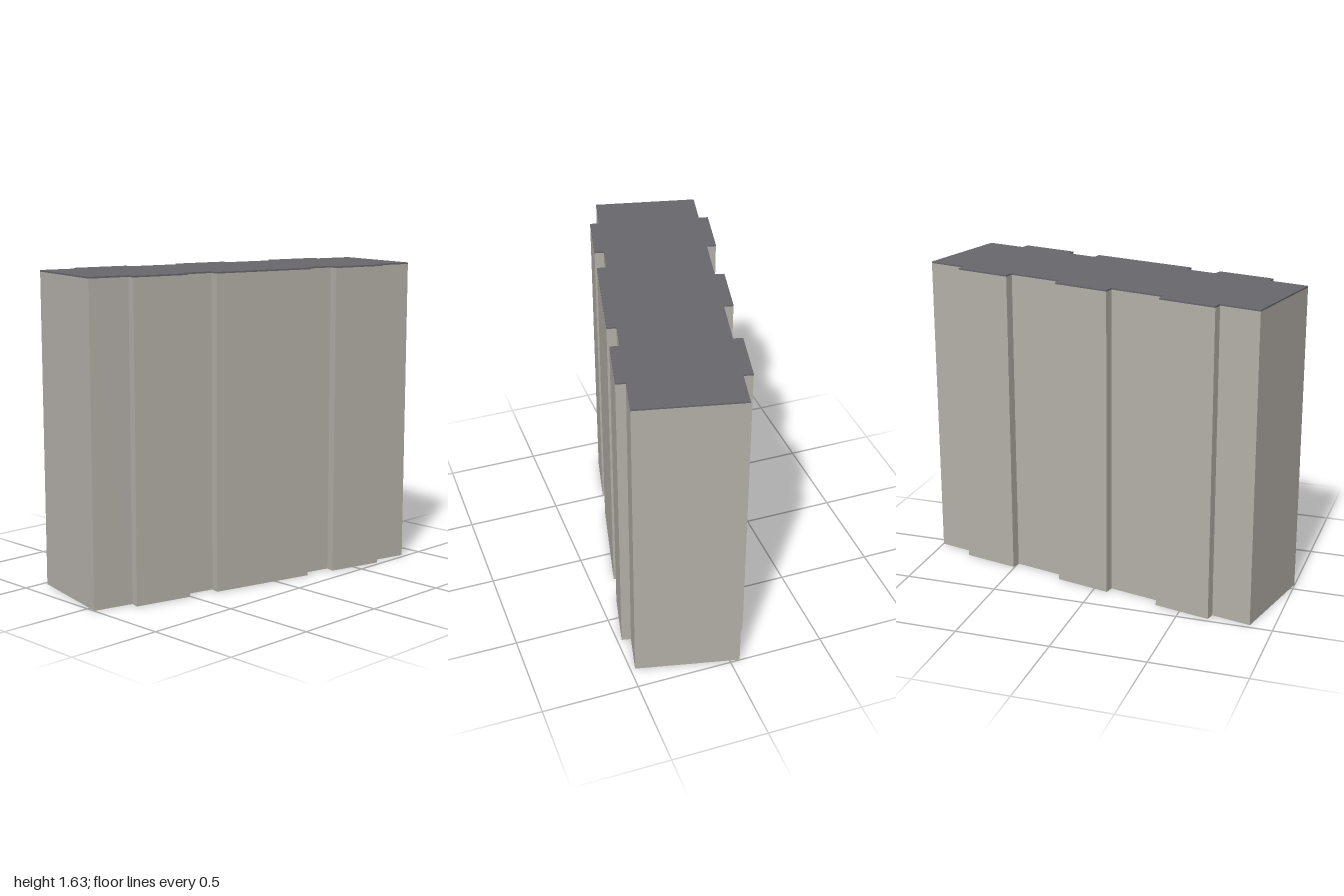
import * as THREE from 'three';

const HEIGHT = 1.635, ROOF = 0.008;
const HALF_WIDTH = 0.27, HALF_LENGTH = 0.962, BAY_DEPTH = 0.049;

// Start and end of each shallow bay along the two long walls
const LEFT_BAYS = [[-0.75, -0.447], [-0.283, 0.283], [0.447, 0.75]];
const RIGHT_BAYS = [[-0.75, -0.447], [-0.15, 0.15], [0.447, 0.75]];

// Stepped edge of one long wall, listed from -length to +length
function wallEdge(side, bays) {
  const inner = side * HALF_WIDTH, outer = side * (HALF_WIDTH + BAY_DEPTH);
  const points = [new THREE.Vector2(inner, -HALF_LENGTH)];
  for (const [a, b] of bays) {
    for (const [x, y] of [[inner, a], [outer, a], [outer, b], [inner, b]]) {
      points.push(new THREE.Vector2(x, y));
    }
  }
  points.push(new THREE.Vector2(inner, HALF_LENGTH));
  return points;
}

// Upright prism over the floor plan
function prism(name, plan, bottom, height, material) {
  const geometry = new THREE.ExtrudeGeometry(plan, { depth: height, bevelEnabled: false });
  geometry.rotateX(-Math.PI / 2).translate(0, bottom, 0);
  const mesh = new THREE.Mesh(geometry, material);
  mesh.name = name;
  return mesh;
}

export function createModel() {
  const wall = new THREE.MeshStandardMaterial({ color: 0xb4b0a9 });
  wall.name = 'warm grey wall';
  const roof = new THREE.MeshStandardMaterial({ color: 0x68676c });
  roof.name = 'slate grey roof';

  const plan = new THREE.Shape([
    ...wallEdge(1, LEFT_BAYS),
    ...wallEdge(-1, RIGHT_BAYS).reverse(),
  ]);

  const building = new THREE.Group();
  building.name = 'building';
  building.rotation.y = -0.223;
  building.add(
    prism('walls', plan, 0, HEIGHT - ROOF, wall),
    prism('flatRoof', plan, HEIGHT - ROOF, ROOF, roof),
  );

  const model = new THREE.Group();
  model.name = 'bayFrontedBlock';
  model.add(building);
  return model;
}
